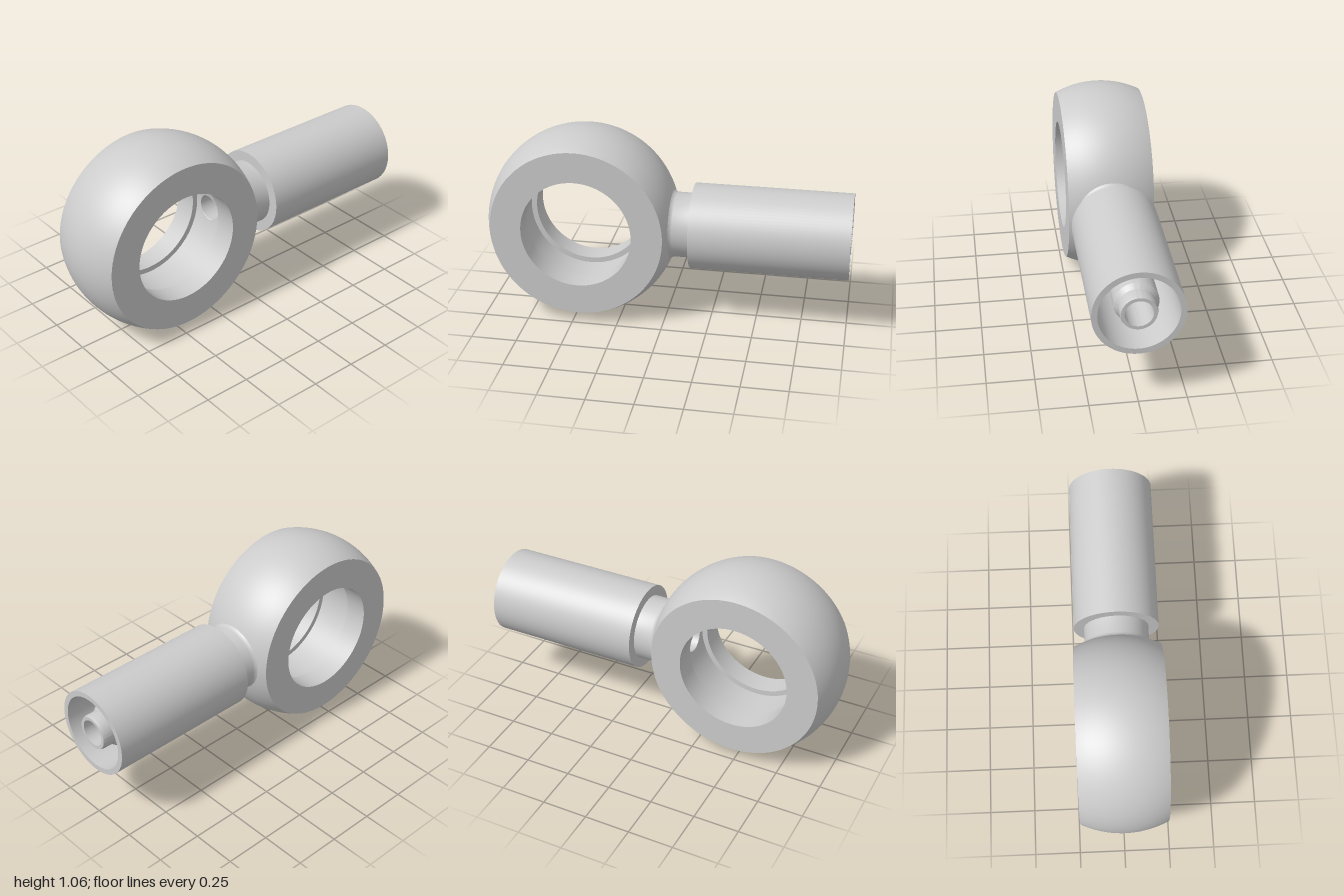
import * as THREE from 'three';
import { toCreasedNormals } from 'three/addons/utils/BufferGeometryUtils.js';
import { ParametricGeometry } from 'three/addons/geometries/ParametricGeometry.js';

const CX = -0.47, CY = 0.53;      // centre of the eye
const R = 0.53, HALF = 0.235;     // ball radius, half width of the eye
const BORE = 0.305;
const GROOVE = 0.335, GHALF = 0.11;
const CHANNEL = 0.072;

const material = new THREE.MeshStandardMaterial({ color: 0xcccccc });

function add(group, name, geometry) {
  const mesh = new THREE.Mesh(geometry, material);
  mesh.name = name;
  group.add(mesh);
}

function lathe(points, segments) {
  const g = new THREE.LatheGeometry(points.map(([r, a]) => new THREE.Vector2(r, a)), segments);
  return toCreasedNormals(g, 0.45);
}

// Band revolved about z with radius radius(z), pierced on its +x side by a round hole
function piercedBand(group, name, radius, half, hole, inward) {
  const dir = (u) => (inward ? 1 - u : u);
  // square patch around the hole
  const patch = (u, v, p) => {
    const k = dir(u), side = Math.floor(v * 4), f = v * 4 - side;
    const turn = side * Math.PI / 2, c = Math.cos(turn), s = Math.sin(turn);
    const b = half * (2 * f - 1), a = v * Math.PI * 2 - Math.PI / 4;
    const y = THREE.MathUtils.lerp(hole * Math.cos(a), half * c - b * s, k);
    const z = THREE.MathUtils.lerp(hole * Math.sin(a), half * s + b * c, k);
    p.set(Math.sqrt(radius(z) ** 2 - y * y), y, z);
  };
  // remaining sweep around the ring
  const sweep = (u, v, p) => {
    const z = half * (2 * v - 1), r = radius(z), start = Math.asin(half / r);
    const t = start + dir(u) * (Math.PI * 2 - 2 * start);
    p.set(r * Math.cos(t), r * Math.sin(t), z);
  };
  add(group, name + 'AroundHole', new ParametricGeometry(patch, 10, 96));
  add(group, name, new ParametricGeometry(sweep, 96, 24));
}

export function createModel() {
  const model = new THREE.Group();
  model.name = 'hoseEndFitting';

  // Eye: ball cut flat on both sides, with a grooved bore
  const eye = new THREE.Group();
  eye.name = 'eye';
  eye.position.set(CX, CY, 0);
  model.add(eye);
  piercedBand(eye, 'ballSurface', (z) => Math.sqrt(R * R - z * z), HALF, 0.12, false);
  piercedBand(eye, 'grooveFloor', () => GROOVE, GHALF, CHANNEL, true);

  // Flat faces, bore lands and groove side walls
  const face = Math.sqrt(R * R - HALF * HALF);
  const half = [[face, HALF], [BORE, HALF], [BORE, GHALF], [GROOVE, GHALF]];
  const back = half.map(([r, z]) => [r, -z]).reverse();
  add(eye, 'frontFace', lathe(half, 112).rotateX(Math.PI / 2));
  add(eye, 'backFace', lathe(back, 112).rotateX(Math.PI / 2));

  // Shank: fillet, neck, sleeve, cavity, nipple and through channel as one profile
  const profile = [];
  for (let i = 0; i <= 6; i++) {
    const a = (i / 6) * 1.35;
    profile.push([0.178 + 0.037 * (1 - Math.sin(a) / Math.sin(1.35)),
      0.0144 + 0.032 * (1 - Math.cos(a)) / (1 - Math.cos(1.35))]);
  }
  profile.push(
    [0.178, 0.14], [0.235, 0.14], [0.235, 1],            // neck and sleeve
    [0.205, 1], [0.205, 0.28], [0.178, 0.24],            // cavity wall
    [0.115, 0.24], [0.115, 0.9], [0.095, 0.925],         // nipple
    [0.095, 0.985], [0.09, 1], [CHANNEL, 1],             // nipple tip
    [CHANNEL, CX + GROOVE - 0.003]                       // channel into the groove
  );
  const shank = lathe(profile, 80).rotateZ(-Math.PI / 2).translate(0, CY, 0);
  add(model, 'shank', shank);

  return model;
}
